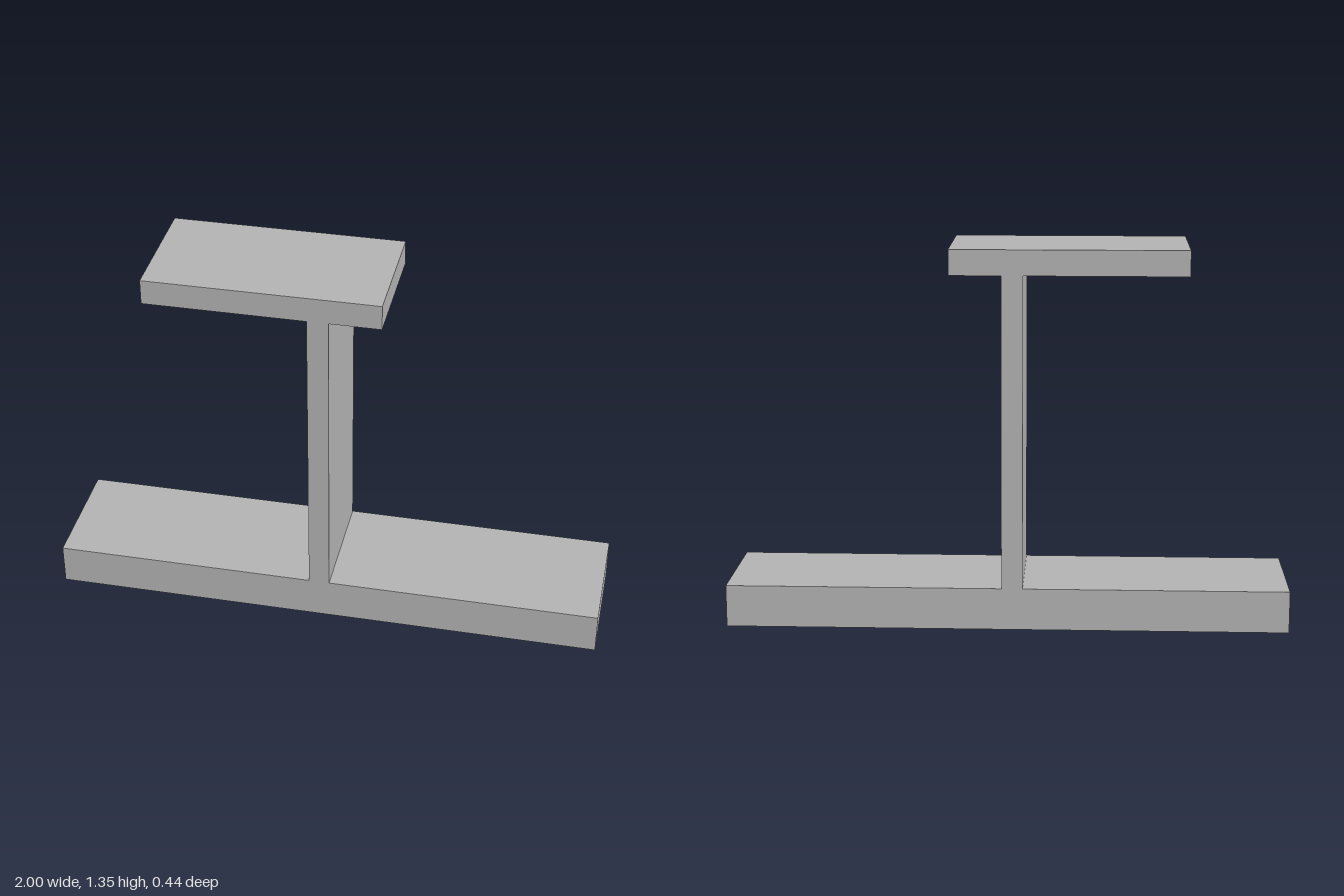
import * as THREE from 'three';

const DEPTH = 0.443;

export function createModel() {
  const model = new THREE.Group();
  model.name = 'unevenBeam';

  const grey = new THREE.MeshStandardMaterial({ color: 0xb2b2b2 });
  grey.name = 'grey';

  // Key levels and edges of the beam's cross-section
  const base = { left: -1, right: 1, top: 0.15 };
  const web = { left: -0.057, right: 0.018 };
  const cap = { left: -0.63, right: 0.2, bottom: 1.264, top: 1.354 };

  // One continuous outline: wide base flange, thin web, offset top flange
  const profile = new THREE.Shape([
    [base.left, 0], [base.right, 0], [base.right, base.top],
    [web.right, base.top], [web.right, cap.bottom],
    [cap.right, cap.bottom], [cap.right, cap.top],
    [cap.left, cap.top], [cap.left, cap.bottom],
    [web.left, cap.bottom], [web.left, base.top], [base.left, base.top],
  ].map(([x, y]) => new THREE.Vector2(x, y)));

  // Extruded along z and centred
  const geometry = new THREE.ExtrudeGeometry(profile, { depth: DEPTH, bevelEnabled: false });
  geometry.translate(0, 0, -DEPTH / 2);

  const beam = new THREE.Mesh(geometry, grey);
  beam.name = 'beam';
  model.add(beam);
  return model;
}
